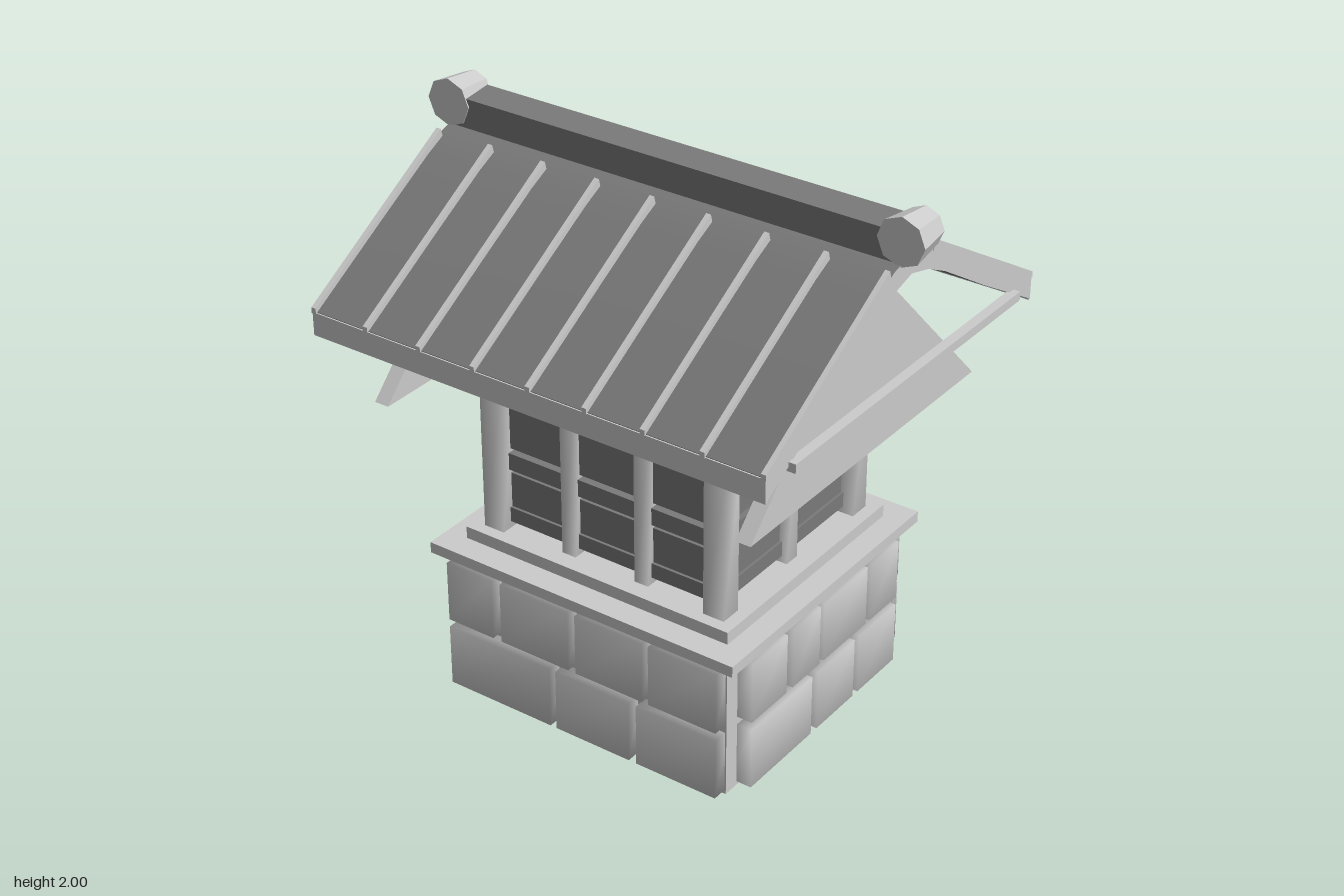
import * as THREE from 'three';
import { mergeVertices, toCreasedNormals } from 'three/addons/utils/BufferGeometryUtils.js';

const grey = new THREE.MeshStandardMaterial({ color: 0xcccccc });
const dark = new THREE.MeshStandardMaterial({ color: 0x7a7a7a });

function add(parent, name, geometry, material = grey) {
  const mesh = new THREE.Mesh(geometry, material);
  mesh.name = name;
  parent.add(mesh);
  return mesh;
}

// Box given by its limits on each axis
function block(parent, name, [x0, x1], [y0, y1], [z0, z1], material) {
  const geometry = new THREE.BoxGeometry(x1 - x0, y1 - y0, z1 - z0);
  const mesh = add(parent, name, geometry, material);
  mesh.position.set((x0 + x1) / 2, (y0 + y1) / 2, (z0 + z1) / 2);
  return mesh;
}

// Box whose shading runs softly over its edges
function softBlock(parent, name, x, y, z) {
  const mesh = block(parent, name, x, y, z);
  mesh.geometry.deleteAttribute('normal');
  mesh.geometry.deleteAttribute('uv');
  mesh.geometry = mergeVertices(mesh.geometry);
  mesh.geometry.computeVertexNormals();
}

// Solid with a (z, y) outline, running along x from x0 to x1
function prism(parent, name, outline, x0, x1, material) {
  const shape = new THREE.Shape(outline.map(([z, y]) => new THREE.Vector2(-z, y)));
  const geometry = new THREE.ExtrudeGeometry(shape, { depth: x1 - x0, bevelEnabled: false });
  geometry.rotateY(Math.PI / 2).translate(x0, 0, 0);
  return add(parent, name, toCreasedNormals(geometry, 0.4), material);
}

// Stone courses, boards and posts of one half: the front and the +x side
function buildHalf(name) {
  const half = new THREE.Group();
  half.name = name;

  const courses = [
    { y: [0.015, 0.245],
      front: [[-0.545, -0.12], [-0.095, 0.205], [0.235, 0.55]],
      side: [[0.085, 0.44], [-0.175, 0.05], [-0.435, -0.205]] },
    { y: [0.275, 0.503],
      front: [[-0.545, -0.355], [-0.32, -0.04], [-0.01, 0.26], [0.285, 0.55]],
      side: [[0.24, 0.44], [0.045, 0.205], [-0.24, 0.02], [-0.435, -0.265]] },
  ];
  for (const { y, front, side } of courses) {
    for (const x of front) softBlock(half, 'frontStone', x, y, [0.48, 0.555]);
    for (const z of side) softBlock(half, 'sideStone', [0.53, 0.612], y, z);
  }

  // Corner posts and mullions
  for (const s of [-1, 1]) {
    softBlock(half, 'cornerPost', s < 0 ? [-0.485, -0.405] : [0.405, 0.485], [0.6, 1.11], [0.34, 0.42]);
    softBlock(half, 'frontMullion', [s * 0.147 - 0.027, s * 0.147 + 0.027], [0.6, 1.11], [0.345, 0.4]);
  }
  softBlock(half, 'sideMullion', [0.41, 0.465], [0.6, 1.11], [-0.03, 0.03]);

  // Dark wall boards with narrow gaps between them
  const boards = [[0.63, 0.685, 0.01], [0.685, 0.815, 0], [0.832, 0.895, 0.01], [0.909, 1.08, 0]];
  for (const [y0, y1, out] of boards) {
    block(half, 'frontBoard', [-0.41, 0.41], [y0, y1], [0.35, 0.37 + out], dark);
    block(half, 'sideBoard', [0.415, 0.435 + out], [y0, y1], [-0.345, 0.345], dark);
  }

  // Top plates
  softBlock(half, 'frontTopBeam', [-0.47, 0.47], [1.1, 1.175], [0.34, 0.41]);
  softBlock(half, 'sideTopBeam', [0.4, 0.47], [1.1, 1.175], [-0.34, 0.34]);
  return half;
}

function buildRoof() {
  const roof = new THREE.Group();
  roof.name = 'roof';

  // Bent roof shell: upper edge one way, lower edge back; light ends, dark slopes
  const upper = [[0.765, 1.45], [0.45, 1.637], [0.2, 1.783], [0.1, 1.832], [0, 1.858]];
  const lower = [[0.765, 1.368], [0.45, 1.553], [0.2, 1.708], [0.1, 1.758], [0, 1.785]];
  const mirror = pts => pts.slice(0, -1).reverse().map(([z, y]) => [-z, y]);
  prism(roof, 'roofShell',
    [...upper, ...mirror(upper), ...[...lower, ...mirror(lower)].reverse()], -0.865, 0.865, [grey, dark]);

  for (const s of [-1, 1]) {
    // Light board along the eave
    block(roof, 'eaveBoard', [-0.865, 0.865], [1.365, 1.448], s < 0 ? [-0.77, -0.76] : [0.76, 0.77]);

    // Battens down the slope
    const outline = [[0.772, 1.445], [0.772, 1.465], [0.13, 1.848], [0.12, 1.81]].map(([z, y]) => [s * z, y]);
    for (let i = -4; i <= 4; i++) {
      prism(roof, 'batten', outline, i * 0.2145 - 0.009, i * 0.2145 + 0.009);
    }
  }

  // Ridge beam with tapered octagonal ends
  block(roof, 'ridgeBeam', [-0.84, 0.84], [1.84, 1.945], [-0.065, 0.065], dark);
  for (const s of [-1, 1]) {
    const cap = new THREE.CylinderGeometry(0.084, 0.066, 0.14, 8).rotateX(Math.PI / 2);
    add(roof, 'ridgeEnd', toCreasedNormals(cap, 0.4)).position.set(s * 0.863, 1.917, 0);

    // Gable triangle and tie beam
    const [g0, g1] = s < 0 ? [-0.735, -0.68] : [0.68, 0.735];
    prism(roof, 'gable', [[0.648, 1.105], [0, 1.767], [-0.648, 1.105]], g0, g1);
    block(roof, 'tieBeam', s < 0 ? [-0.89, -0.855] : [0.855, 0.89], [1.418, 1.45], [-0.652, 0.652]);
  }
  return roof;
}

export function createModel() {
  const model = new THREE.Group();
  model.name = 'roofedShrine';

  // Plinth core and stepped slabs
  block(model, 'plinthCore', [-0.555, 0.555], [0, 0.495], [-0.5, 0.5]);
  block(model, 'lowerSlab', [-0.612, 0.612], [0.52, 0.56], [-0.555, 0.555]);
  block(model, 'upperSlab', [-0.53, 0.53], [0.56, 0.605], [-0.463, 0.463]);

  // Two identical halves, turned half a circle apart
  const back = buildHalf('backHalf');
  back.rotation.y = Math.PI;
  model.add(buildHalf('frontHalf'), back, buildRoof());
  return model;
}
